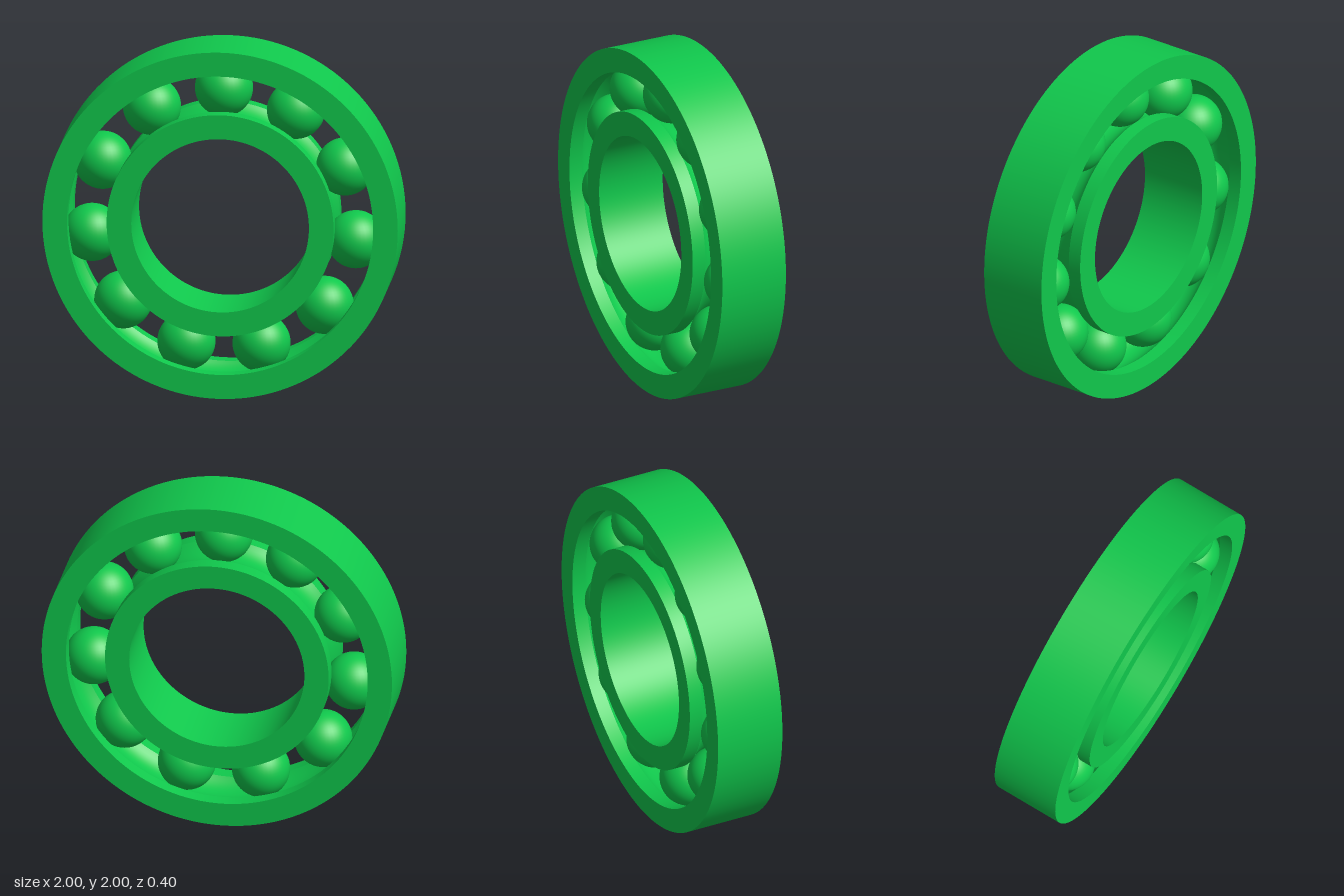
import * as THREE from 'three';
import { toCreasedNormals } from 'three/addons/utils/BufferGeometryUtils.js';

const PITCH = 0.75;        // radius of the circle the ball centres lie on
const BALL = 0.163;
const GROOVE = 0.164;
const HALF = 0.2;          // half the bearing width
const SHOULDER = 0.1115;   // distance from pitch circle to each race's shoulder
const BALL_COUNT = 11;

export function createModel() {
  const group = new THREE.Group();
  const green = new THREE.MeshStandardMaterial({ color: 0x10c84c });
  green.name = 'green';

  // Concave raceway arc; side is +1 for the outer race, -1 for the inner
  const groove = (side) => {
    const a0 = Math.acos(SHOULDER / GROOVE), n = 16, pts = [];
    for (let i = 0; i <= n; i++) {
      const a = side * a0 * (1 - (2 * i) / n);
      pts.push(new THREE.Vector2(PITCH + side * GROOVE * Math.cos(a), GROOVE * Math.sin(a)));
    }
    return pts;
  };

  // Revolve a closed (radius, z) profile around the bearing axis
  const addRace = (name, profile) => {
    const lathe = new THREE.LatheGeometry(profile, 128).rotateX(Math.PI / 2);
    const mesh = new THREE.Mesh(toCreasedNormals(lathe, Math.PI / 6), green);
    mesh.name = name;
    mesh.position.y = 1;
    group.add(mesh);
  };
  const p = (r, z) => new THREE.Vector2(r, z);
  const outer = PITCH + SHOULDER, inner = PITCH - SHOULDER;

  addRace('outerRace', [p(1, -HALF), p(1, HALF), p(outer, HALF), ...groove(1), p(outer, -HALF), p(1, -HALF)]);
  addRace('innerRace', [p(0.5, HALF), p(0.5, -HALF), p(inner, -HALF), ...groove(-1), p(inner, HALF), p(0.5, HALF)]);

  // Balls, the first one at the top
  const balls = new THREE.Group();
  balls.name = 'balls';
  const ballGeometry = new THREE.SphereGeometry(BALL, 40, 28);
  for (let i = 0; i < BALL_COUNT; i++) {
    const a = (i / BALL_COUNT) * Math.PI * 2;
    const ball = new THREE.Mesh(ballGeometry, green);
    ball.name = 'ball';
    ball.position.set(PITCH * Math.sin(a), 1 + PITCH * Math.cos(a), 0);
    balls.add(ball);
  }
  group.add(balls);
  return group;
}
